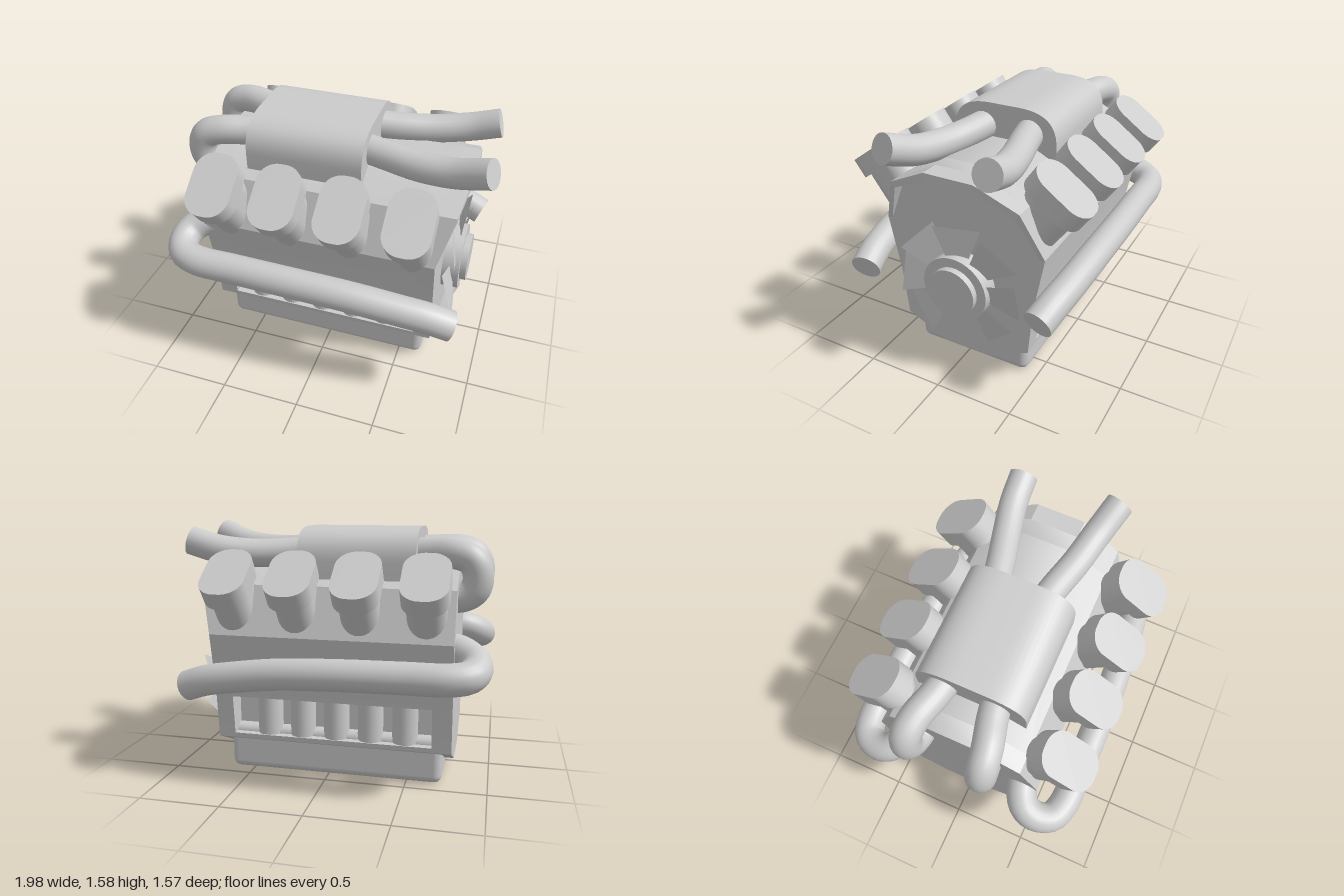
import * as THREE from 'three';
import { toCreasedNormals } from 'three/addons/utils/BufferGeometryUtils.js';
import { RoundedBoxGeometry } from 'three/addons/geometries/RoundedBoxGeometry.js';

const grey = new THREE.MeshStandardMaterial({ color: 0xcccccc });
const thin = new THREE.MeshStandardMaterial({ color: 0xcccccc, side: THREE.DoubleSide });
const MID = -0.035; // z of the block's centre plane

function add(parent, name, geometry, x = 0, y = 0, z = 0, material = grey) {
  const mesh = new THREE.Mesh(geometry, material);
  mesh.name = name;
  mesh.position.set(x, y, z);
  parent.add(mesh);
  return mesh;
}

// Symmetric cross-section from its right half, listed top to bottom
function mirroredShape(half) {
  const left = half.map(([u, v]) => [-u, v]).reverse();
  return new THREE.Shape([...half, ...left].map(([u, v]) => new THREE.Vector2(u, v)));
}

// Extrude a cross-section along x, from x0 to x1
function extrudeX(shape, x0, x1) {
  const g = new THREE.ExtrudeGeometry(shape, { depth: x1 - x0, bevelEnabled: false, curveSegments: 12 });
  return toCreasedNormals(g.rotateY(Math.PI / 2).translate(x0, 0, 0), 0.5);
}

// Upright prism with a rounded rectangular outline, base at y = 0
function roundedPrism(w, d, r, h) {
  const a = w / 2, b = d / 2, s = new THREE.Shape();
  s.absarc(a - r, b - r, r, 0, Math.PI / 2);
  s.absarc(r - a, b - r, r, Math.PI / 2, Math.PI);
  s.absarc(r - a, r - b, r, Math.PI, Math.PI * 1.5);
  s.absarc(a - r, r - b, r, Math.PI * 1.5, Math.PI * 2);
  const g = new THREE.ExtrudeGeometry(s, { depth: h, bevelEnabled: false, curveSegments: 8 });
  return toCreasedNormals(g.rotateX(-Math.PI / 2), 0.6);
}

// Smooth pipe through points, with flat end discs
function pipe(parent, name, points, r) {
  const group = new THREE.Group();
  group.name = name;
  const curve = new THREE.CatmullRomCurve3(points.map(p => new THREE.Vector3(...p)));
  add(group, 'pipeWall', new THREE.TubeGeometry(curve, 64, r, 20));
  for (const t of [0, 1]) {
    const end = curve.getPointAt(t);
    const dir = curve.getTangentAt(t).multiplyScalar(t ? 1 : -1);
    const disc = add(group, 'pipeEnd', new THREE.CircleGeometry(r, 20), end.x, end.y, end.z);
    disc.quaternion.setFromUnitVectors(new THREE.Vector3(0, 0, 1), dir);
  }
  parent.add(group);
}

function buildBlock(model) {
  const upper = [[0.16, 1.35], [0.42, 1.22], [0.535, 0.92], [0.465, 0.55]];
  const lower = [[0.435, 0.23], [0.16, 0.10]];
  const notch = [[0.461, 0.51], [0.33, 0.51], [0.33, 0.26], [0.438, 0.26]];
  const full = mirroredShape([...upper, ...lower]);
  const block = new THREE.Group();
  block.name = 'engineBlock';
  block.position.z = MID;
  model.add(block);
  add(block, 'blockRearEnd', extrudeX(full, -0.78, -0.66));
  add(block, 'blockMiddle', extrudeX(mirroredShape([...upper, ...notch, ...lower]), -0.66, 0.6));
  add(block, 'blockFanEnd', extrudeX(full, 0.6, 0.71));

  // Flared lip around the upper half of the fan end
  const arch = [...upper.slice(0, 3).reverse(), ...upper.slice(0, 3).map(([u, v]) => [-u, v])];
  const rings = arch.map(([z, y]) => {
    const x = 0.71 + (y - 0.92) * 0.279;
    const zi = z * 0.94, yi = 0.88 + (y - 0.88) * 0.9;
    return [[0.71, y, z], [x, y, z], [x, yi, zi], [0.705, yi, zi]];
  });
  const pos = [];
  for (let i = 0; i < rings.length - 1; i++) {
    for (let j = 0; j < 3; j++) {
      const a = rings[i][j], b = rings[i][j + 1], c = rings[i + 1][j + 1], d = rings[i + 1][j];
      pos.push(...a, ...c, ...b, ...a, ...d, ...c);
    }
  }
  const lip = new THREE.BufferGeometry();
  lip.setAttribute('position', new THREE.Float32BufferAttribute(pos, 3));
  lip.computeVertexNormals();
  add(block, 'fanShroud', lip, 0, 0, 0, thin);

  // Round ribs inside the side recesses
  for (const s of [1, -1]) {
    for (let i = 0; i < 5; i++) {
      add(block, 'recessRib', new THREE.CylinderGeometry(0.08, 0.08, 0.25, 24), -0.487 + i * 0.218, 0.385, s * 0.352);
    }
  }
  add(block, 'oilPan', new RoundedBoxGeometry(1.37, 0.3, 0.78, 4, 0.05), -0.035, 0.155, 0);

  // Domed intake box on top
  const dome = new THREE.Shape();
  dome.moveTo(-0.35, 1.25);
  dome.lineTo(0.35, 1.25);
  dome.lineTo(0.35, 1.36);
  dome.bezierCurveTo(0.35, 1.5, 0.27, 1.565, 0.1, 1.565);
  dome.lineTo(-0.1, 1.565);
  dome.bezierCurveTo(-0.27, 1.565, -0.35, 1.5, -0.35, 1.36);
  add(block, 'intakeBox', extrudeX(dome, -0.53, 0.2));
}

function buildHeads(model) {
  const neck = roundedPrism(0.235, 0.32, 0.115, 0.43);
  const cap = roundedPrism(0.275, 0.4, 0.12, 0.125);
  for (const s of [1, -1]) {
    const bank = new THREE.Group();
    bank.name = s > 0 ? 'frontCylinderBank' : 'backCylinderBank';
    bank.rotation.x = s * 0.622;
    for (const x of [-0.615, -0.22, 0.17, 0.565]) {
      add(bank, 'cylinderNeck', neck, x, 0.89, -0.26 * s);
      add(bank, 'cylinderCap', cap, x, 1.31, -0.26 * s);
    }
    model.add(bank);
  }
}

function buildFan(model) {
  const fan = new THREE.Group();
  fan.name = 'fan';
  fan.position.set(0, 0.615, MID);
  model.add(fan);
  const disc = (r, len) => new THREE.CylinderGeometry(r, r, len, 40).rotateZ(Math.PI / 2);
  add(fan, 'fanHub', disc(0.215, 0.12), 0.76);
  add(fan, 'fanHubCap', disc(0.155, 0.05), 0.835);
  // Tapered, pitched blade made from a plane
  const blade = new THREE.PlaneGeometry(1, 1).rotateY(Math.PI / 2);
  const p = blade.attributes.position;
  for (let i = 0; i < p.count; i++) {
    const outer = p.getY(i) > 0;
    const z = Math.sign(p.getZ(i)) * (outer ? 0.14 : 0.05);
    p.setXYZ(i, 0.775 + z * 0.25, outer ? 0.395 : 0.15, z);
  }
  blade.computeVertexNormals();
  for (let i = 0; i < 8; i++) {
    add(fan, 'fanBlade', blade, 0, 0, 0, thin).rotation.x = i * Math.PI / 4;
  }
}

function buildPipes(model) {
  for (const s of [1, -1]) {
    // Exhaust pipe: out of the rear, round the corner and along the side
    pipe(model, s > 0 ? 'frontExhaustPipe' : 'backExhaustPipe', [
      [-0.7, 0.87, 0.39], [-0.8, 0.86, 0.41], [-0.885, 0.82, 0.465], [-0.908, 0.785, 0.55],
      [-0.87, 0.76, 0.64], [-0.77, 0.75, 0.682], [-0.5, 0.747, 0.688], [-0.1, 0.74, 0.688],
      [0.25, 0.72, 0.675], [0.55, 0.677, 0.65], [0.72, 0.643, 0.627], [0.855, 0.595, 0.6],
    ].map(([x, y, z]) => [x, y, z * s]), 0.095);

    // Rear hose: from the intake box down into the block
    pipe(model, 'rearIntakeHose', [
      [-0.45, 1.41, 0.15], [-0.6, 1.415, 0.18], [-0.75, 1.415, 0.22], [-0.85, 1.38, 0.235],
      [-0.888, 1.3, 0.235], [-0.875, 1.21, 0.23], [-0.81, 1.16, 0.22], [-0.7, 1.15, 0.21],
    ].map(([x, y, z]) => [x, y, MID - 0.01 + z * s]), 0.092);

    // Fan-end hose: rises and spreads outward to an open end
    const tip = s > 0 ? [0.945, 1.5, 0.295] : [0.91, 1.475, -0.335];
    pipe(model, 'fanEndIntakeHose', [
      [0.1, 1.42, MID - 0.01 + s * 0.14], [0.3, 1.405, MID - 0.01 + s * 0.18],
      [0.52, 1.4, MID - 0.01 + s * 0.235], [0.73, 1.425, MID - 0.01 + s * 0.28], tip,
    ], 0.09);
  }
}

export function createModel() {
  const model = new THREE.Group();
  model.name = 'engine';
  buildBlock(model);
  buildHeads(model);
  buildFan(model);
  buildPipes(model);
  return model;
}
